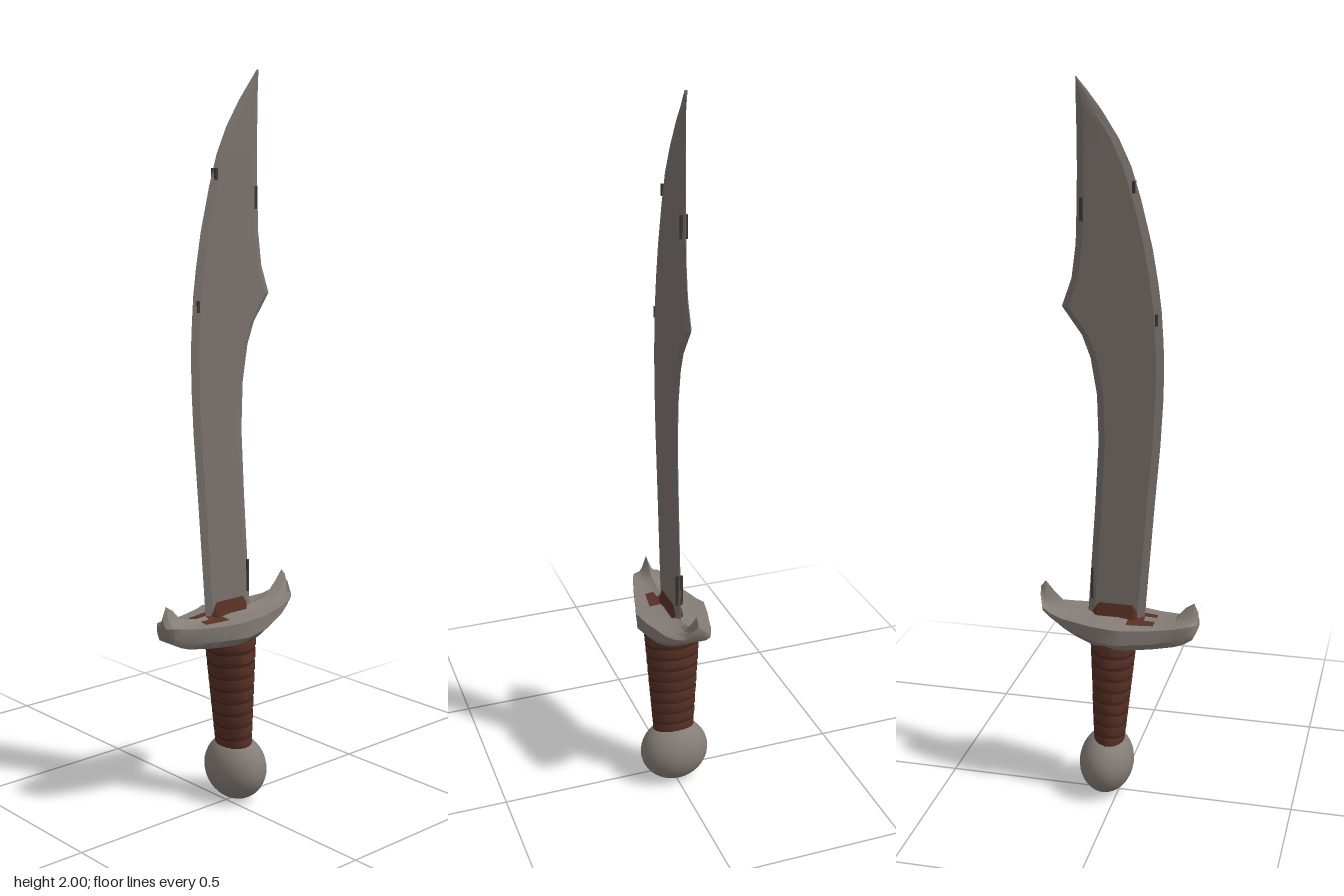
import * as THREE from 'three';
import { toCreasedNormals } from 'three/addons/utils/BufferGeometryUtils.js';

const steel = new THREE.MeshStandardMaterial({ name: 'steel', color: 0x857d77 });
const bladeSteel = new THREE.MeshStandardMaterial({ name: 'blade steel', color: 0x7a726d });
const leather = new THREE.MeshStandardMaterial({ name: 'leather', color: 0x593125 });
const darkLeather = new THREE.MeshStandardMaterial({ name: 'dark leather', color: 0x3c221a });
const tarnish = new THREE.MeshStandardMaterial({ name: 'tarnish', color: 0x3b3735 });

// Skin a list of closed cross-sections; accent(row, side) picks the second colour
function loft(rows, crease, accent = () => false) {
  const lists = [[], []];
  const n = rows[0].length;
  const tri = (list, a, b, c) => list.push(...a, ...b, ...c);
  for (let i = 0; i < rows.length - 1; i++) {
    for (let j = 0; j < n; j++) {
      const k = (j + 1) % n;
      const list = lists[accent(i, j) ? 1 : 0];
      tri(list, rows[i][j], rows[i + 1][j], rows[i + 1][k]);
      tri(list, rows[i][j], rows[i + 1][k], rows[i][k]);
    }
  }
  const first = rows[0], last = rows[rows.length - 1];
  for (let j = 1; j < n - 1; j++) {
    tri(lists[0], first[0], first[j], first[j + 1]);
    tri(lists[0], last[0], last[j + 1], last[j]);
  }
  const geometry = new THREE.BufferGeometry();
  geometry.setAttribute('position', new THREE.Float32BufferAttribute(lists.flat(), 3));
  geometry.addGroup(0, lists[0].length / 3, 0);
  if (lists[1].length) geometry.addGroup(lists[0].length / 3, lists[1].length / 3, 1);
  return toCreasedNormals(geometry, crease);
}

function add(group, name, geometry, material) {
  const mesh = new THREE.Mesh(geometry, material);
  mesh.name = name;
  group.add(mesh);
  return mesh;
}

// Flat six-sided section with bevelled edges
const bevelSection = (y, l, r, bevel, t) => [
  [l, y, 0], [l + bevel, y, -t], [r - bevel, y, -t],
  [r, y, 0], [r - bevel, y, t], [l + bevel, y, t],
];

// Blade stations: height, back edge x, hooked edge x
const BLADE = [
  [0.52, -0.073, 0.09], [0.56, -0.075, 0.087], [0.87, -0.099, 0.066], [1.05, -0.114, 0.056],
  [1.18, -0.121, 0.06], [1.28, -0.122, 0.077], [1.34, -0.119, 0.1], [1.415, -0.114, 0.154],
  [1.49, -0.104, 0.127], [1.58, -0.088, 0.115], [1.7, -0.058, 0.111], [1.78, -0.033, 0.11],
  [1.85, 0, 0.11], [1.92, 0.045, 0.111], [1.97, 0.084, 0.112], [2.0, 0.11, 0.112],
];

function bladeGeometry() {
  const rows = BLADE.map(([y, l, r]) => {
    const t = 0.009 * Math.min(1, 0.4 + (2 - y) * 3);
    return bevelSection(y, l, r, Math.min(0.02, (r - l) * 0.3), t);
  });
  return loft(rows, 0.35);
}

// Guard stations: x, underside y, shoulder y, ridge y, half depth
const GUARD = [
  [-0.225, 0.53, 0.548, 0.575, 0.02], [-0.213, 0.505, 0.55, 0.603, 0.038],
  [-0.19, 0.493, 0.548, 0.588, 0.048], [-0.165, 0.485, 0.544, 0.56, 0.055],
  [-0.105, 0.477, 0.54, 0.549, 0.071], [-0.075, 0.475, 0.54, 0.551, 0.08],
  [-0.03, 0.473, 0.541, 0.553, 0.092], [0, 0.473, 0.545, 0.555, 0.101],
  [0.06, 0.48, 0.545, 0.555, 0.09], [0.11, 0.496, 0.547, 0.556, 0.076],
  [0.15, 0.515, 0.55, 0.568, 0.066], [0.185, 0.537, 0.556, 0.602, 0.052],
  [0.21, 0.555, 0.567, 0.632, 0.04], [0.224, 0.592, 0.598, 0.615, 0.01],
];

function guardGeometry() {
  const rows = GUARD.map(([x, b, s, r, w]) => {
    const half = [
      [w * 0.72, b], [w * 0.97, b + (s - b) * 0.35], [w, s],
      [w * 0.55, s + (r - s) * 0.1], [Math.min(0.014, w * 0.3), s + (r - s) * 0.35],
    ];
    const mirrored = half.map(([z, y]) => [x, y, -z]).reverse();
    return [...half.map(([z, y]) => [x, y, z]), [x, r, 0], ...mirrored];
  });
  // Leather-coloured stain on the top, beside the blade
  return loft(rows, 0.6, (i, j) =>
    (i === 4 && (j === 3 || j === 6)) || (i === 5 && j >= 3 && j <= 6));
}

// Oval grip with slightly tilted wraps and dark seams between them
function gripGeometry() {
  const rows = [];
  const wraps = 9, sides = 20;
  const ring = (t, swell) => {
    const row = [];
    for (let j = 0; j < sides; j++) {
      const a = (j / sides) * Math.PI * 2;
      const rx = (0.042 + 0.022 * t) * swell;
      const rz = (0.059 + 0.021 * t) * swell;
      const cx = 0.028 - 0.014 * t;
      row.push([cx + Math.cos(a) * rx, 0.16 + 0.325 * t + Math.cos(a) * 0.008, Math.sin(a) * rz]);
    }
    return row;
  };
  for (let i = 0; i < wraps; i++) {
    rows.push(ring(i / wraps, 0.98), ring((i + 0.15) / wraps, 1.02), ring((i + 0.87) / wraps, 1.01));
  }
  rows.push(ring(1, 0.98));
  return loft(rows, 0.5, (i) => i % 3 === 2);
}

// Wrapped collar where the blade meets the guard
function collarGeometry() {
  const rows = [[0.535, 0.02, 0], [0.565, 0.014, 0], [0.585, 0.0105, 0.008]];
  return loft(rows.map(([y, t, inset]) => bevelSection(y, -0.066 + inset, 0.08 - inset, 0.02, t)), 0.5);
}

// Tarnished nicks on the blade: x, y, width, height
const NICKS = [
  [0.098, 1.67, 0.01, 0.06], [-0.102, 1.39, 0.007, 0.03],
  [-0.04, 1.73, 0.008, 0.03], [0.074, 0.64, 0.006, 0.09],
];

export function createModel() {
  const sword = new THREE.Group();
  sword.name = 'curvedSword';

  add(sword, 'blade', bladeGeometry(), bladeSteel);
  add(sword, 'guard', guardGeometry(), [steel, leather]);
  add(sword, 'collar', collarGeometry(), leather);
  add(sword, 'grip', gripGeometry(), [leather, darkLeather]);

  for (const [x, y, w, h] of NICKS) {
    for (const side of [1, -1]) {
      add(sword, 'bladeNick', new THREE.BoxGeometry(w, h, 0.009), tarnish).position.set(x, y, side * 0.005);
    }
  }

  // Rounded pommel, deeper than it is wide
  const pommel = add(sword, 'pommel', new THREE.SphereGeometry(1, 28, 20), steel);
  pommel.scale.set(0.077, 0.093, 0.1);
  pommel.position.set(0.035, 0.093, 0);

  return sword;
}
